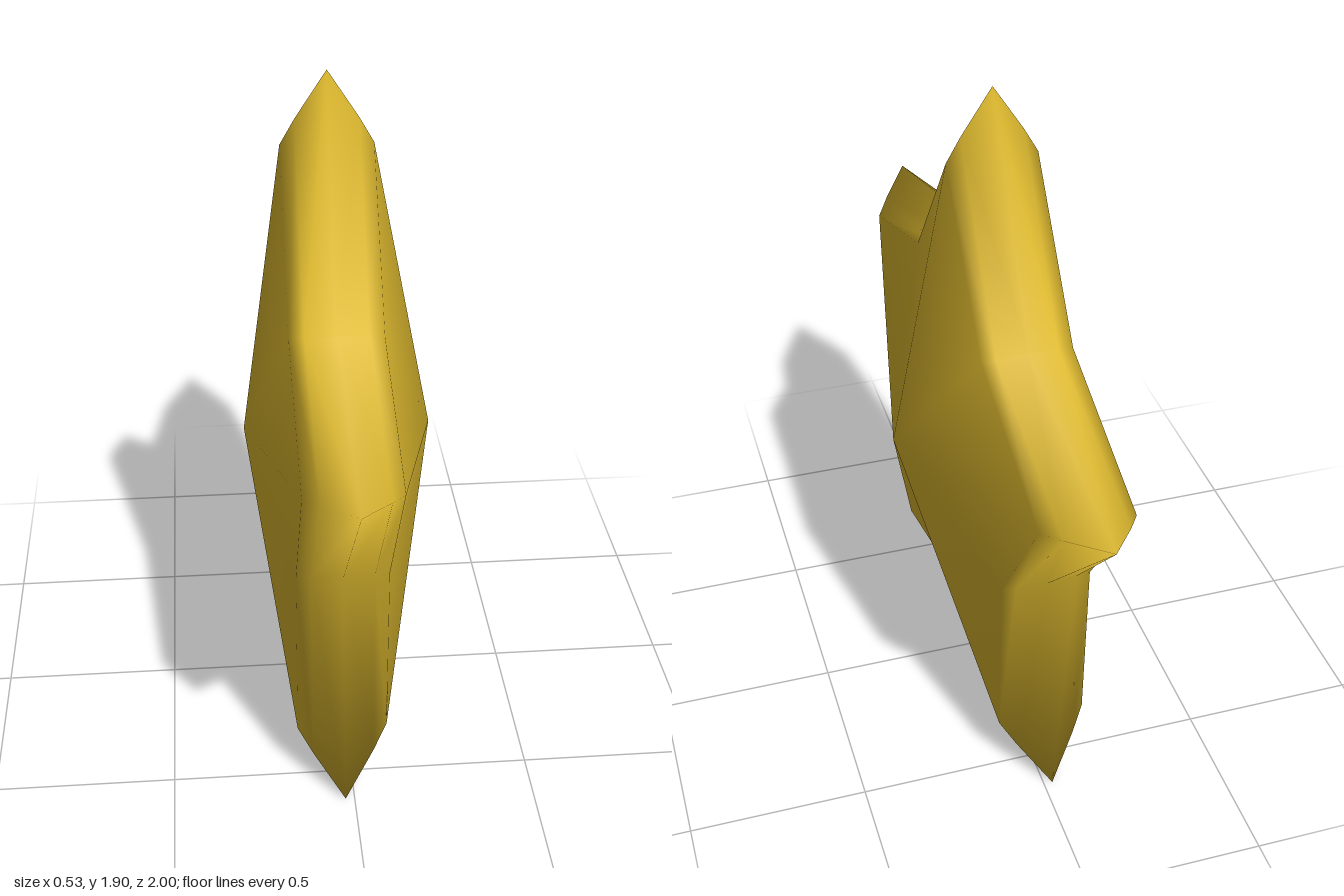
import * as THREE from 'three';

export function createModel() {
  const group = new THREE.Group();
  const gold = new THREE.MeshStandardMaterial({ color: 0xdcb82e, side: THREE.DoubleSide });
  gold.name = 'gold';

  // Star-shaped cross-sections from +x to -x: [x, tip radius, notch radius]
  const rings = [
    [0.10, 0.85, 0.54],
    [0.06, 0.92, 0.545],
    [-0.025, 1.05, 0.55],
    [-0.11, 0.92, 0.545],
    [-0.15, 0.85, 0.54],
  ];
  const centreY = 0.85, bulge = 0.265, n = 10;
  const positions = [], index = [];
  for (const [x, tip, notch] of rings) {
    for (let j = 0; j < n; j++) {
      const a = Math.PI / 2 + (j * Math.PI) / 5;
      const r = j % 2 ? notch : tip;
      positions.push(x, centreY + r * Math.sin(a), r * Math.cos(a));
    }
  }

  // Rounded edge between the cross-sections, diagonals mirrored on each arm
  for (let k = 0; k < rings.length - 1; k++) {
    for (let j = 0; j < n; j++) {
      const next = (j + 1) % n;
      const a = k * n + j, b = k * n + next, c = a + n, d = b + n;
      if (j % 2) index.push(a, b, c, b, d, c);
      else index.push(a, b, d, a, d, c);
    }
  }

  // Domed faces rising to a centre point on each side
  const right = positions.length / 3, left = right + 1, last = (rings.length - 1) * n;
  positions.push(bulge, centreY, 0, -bulge, centreY, 0);
  for (let j = 0; j < n; j++) {
    const next = (j + 1) % n;
    index.push(right, next, j);
    index.push(left, last + j, last + next);
  }

  const geometry = new THREE.BufferGeometry();
  geometry.setAttribute('position', new THREE.Float32BufferAttribute(positions, 3));
  geometry.setIndex(index);
  geometry.computeVertexNormals();

  const star = new THREE.Mesh(geometry, gold);
  star.name = 'star';
  group.add(star);
  return group;
}
